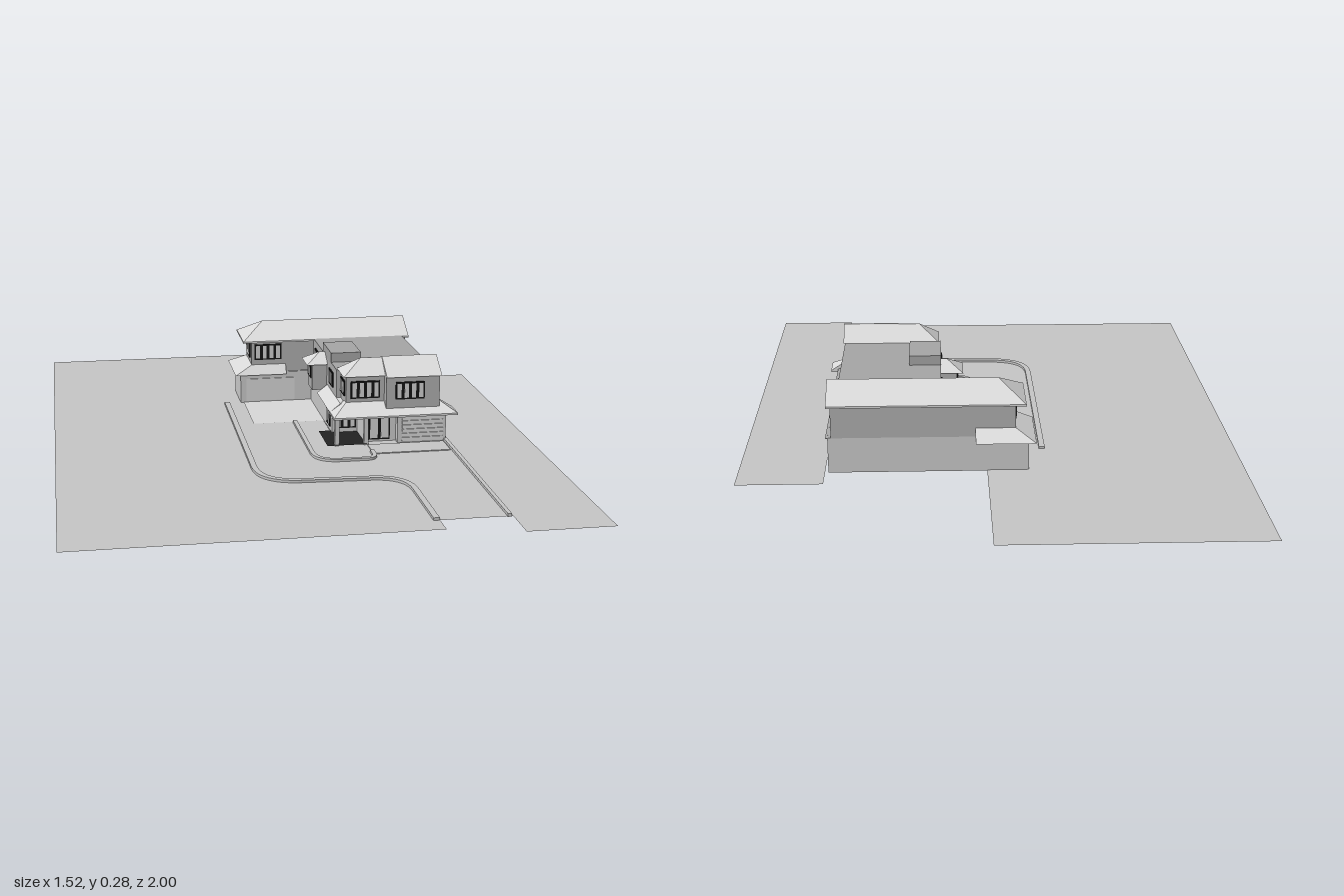
import * as THREE from 'three';

const mat = (name, color) => {
  const m = new THREE.MeshStandardMaterial({ color, side: THREE.DoubleSide });
  m.name = name;
  return m;
};

export function createModel() {
  const root = new THREE.Group();
  root.name = 'houseAndGrounds';
  const M = {
    ground: mat('ground grey', 0xc6c6c6),
    paving: mat('pale paving', 0xd8d8d8),
    wall: mat('lower wall', 0xcccccc),
    upper: mat('upper wall', 0xb0b0b0),
    roof: mat('roof tile', 0xdadada),
    flat: mat('flat roof', 0xa6a6a6),
    frame: mat('black frame', 0x141414),
    glass: mat('pale glass', 0xd2d2d2),
    floor: mat('dark floor', 0x222222),
  };
  const add = (name, geo, material) => {
    const mesh = new THREE.Mesh(geo, material);
    mesh.name = name;
    root.add(mesh);
    return mesh;
  };
  // Box given by its limits; hollow drops top and bottom
  const block = (name, x0, x1, y0, y1, z0, z1, material, hollow = false) => {
    const g = new THREE.BoxGeometry(x1 - x0, y1 - y0, z1 - z0);
    g.translate((x0 + x1) / 2, (y0 + y1) / 2, (z0 + z1) / 2);
    if (hollow) {
      const i = Array.from(g.index.array);
      g.setIndex([...i.slice(0, 12), ...i.slice(24)]);
    }
    return add(name, g, material);
  };
  // Sloping roof between an outer eave rectangle and an inner top rectangle [x0, x1, z0, z1]
  const slope = (name, o, y0, i, y1, material = M.roof) => {
    const ring = (r, y) => [[r[0], y, r[3]], [r[1], y, r[3]], [r[1], y, r[2]], [r[0], y, r[2]]];
    const a = ring(o, y0), b = ring(i, y1), p = [];
    const quad = (q, r, s, t) => p.push(...q, ...r, ...s, ...q, ...s, ...t);
    for (let k = 0; k < 4; k++) {
      const n = (k + 1) % 4;
      quad(a[k], a[n], b[n], b[k]);
    }
    quad(b[0], b[1], b[2], b[3]);
    const g = new THREE.BufferGeometry();
    g.setAttribute('position', new THREE.Float32BufferAttribute(p, 3));
    g.computeVertexNormals();
    return add(name, g, material);
  };
  // Flat sheet from [x, z] corners
  const sheet = (name, pts, y, material) => {
    const g = new THREE.ShapeGeometry(new THREE.Shape(pts.map(([x, z]) => new THREE.Vector2(x, -z))));
    g.rotateX(-Math.PI / 2).translate(0, y, 0);
    return add(name, g, material);
  };
  // Raised strip of constant width along a path
  const kerb = (name, path, width = 0.018) => {
    const pts = path.getPoints(10), left = [], right = [];
    pts.forEach((p, k) => {
      const d = pts[Math.min(k + 1, pts.length - 1)].clone().sub(pts[Math.max(k - 1, 0)]).normalize();
      left.push(new THREE.Vector2(p.x - d.y * width / 2, -(p.y + d.x * width / 2)));
      right.unshift(new THREE.Vector2(p.x + d.y * width / 2, -(p.y - d.x * width / 2)));
    });
    const g = new THREE.ExtrudeGeometry(new THREE.Shape([...left, ...right]), { depth: 0.01, bevelEnabled: false });
    add(name, g.rotateX(-Math.PI / 2), M.ground);
  };
  // Window: black plate with thin panes; faces +z, or -x when side is true
  const win = (name, u0, u1, y0, y1, at, panes, side = false) => {
    const plate = (n, a, b, c, d, off, t, m) => side
      ? block(n, at - off - t, at - off, c, d, a, b, m)
      : block(n, a, b, c, d, at + off, at + off + t, m);
    plate(name + 'Frame', u0, u1, y0, y1, 0, 0.004, M.frame);
    const w = (u1 - u0) / panes, e = 0.005;
    for (let k = 0; k < panes; k++) {
      plate(name + 'Pane', u0 + k * w + e, u0 + (k + 1) * w - e, y0 + e, y1 - e, 0.004, 0.001, M.glass);
    }
  };

  // Grounds
  sheet('lawn', [[-0.76, -1], [0.015, -1], [0.015, -0.34], [0.14, -0.34], [0.14, 0.16], [0.5, 0.16],
    [0.5, 0.88], [0.29, 0.88], [0.29, 0.95], [-0.76, 0.95]], 0.002, M.ground);
  sheet('sideLawn', [[0.5, -0.58], [0.76, -0.58], [0.76, 1], [0.5, 1]], 0.002, M.ground);
  sheet('courtyard', [[-0.1, -0.34], [0.14, -0.34], [0.14, -0.08], [-0.1, -0.08]], 0.004, M.paving);
  sheet('houseFloor', [[0.14, -0.34], [0.49, -0.34], [0.49, 0.16], [0.14, 0.16]], 0.003, M.floor);
  sheet('porchFloor', [[0.1, 0.04], [0.23, 0.04], [0.23, 0.2], [0.1, 0.2]], 0.006, M.floor);
  block('garageApron', 0.23, 0.48, 0, 0.005, 0.2, 0.29, M.ground);

  // Kerbs of the curving drive
  const outer = new THREE.Path().moveTo(-0.16, -0.33);
  outer.lineTo(-0.16, 0.37);
  outer.quadraticCurveTo(-0.16, 0.51, -0.02, 0.51);
  outer.lineTo(0.18, 0.52);
  outer.quadraticCurveTo(0.28, 0.53, 0.28, 0.64);
  outer.lineTo(0.28, 0.88);
  kerb('outerKerb', outer);
  const inner = new THREE.Path().moveTo(0.04, -0.08);
  inner.lineTo(0.04, 0.26);
  inner.quadraticCurveTo(0.04, 0.34, 0.12, 0.34);
  inner.lineTo(0.2, 0.34);
  inner.quadraticCurveTo(0.23, 0.34, 0.23, 0.3);
  inner.lineTo(0.23, 0.27);
  kerb('innerKerb', inner, 0.014);
  const edge = new THREE.Path().moveTo(0.49, 0.88);
  edge.lineTo(0.49, 0.16);
  kerb('sideKerb', edge, 0.012);

  // Rear wing
  block('rearLowerWalls', -0.11, 0.49, 0, 0.11, -0.49, -0.34, M.wall, true);
  block('rearUpperWalls', -0.07, 0.48, 0.11, 0.225, -0.49, -0.345, M.upper, true);
  slope('rearSkirtRoof', [-0.13, 0.05, -0.54, -0.32], 0.105, [-0.07, 0.05, -0.49, -0.345], 0.137);
  slope('rearRoof', [-0.1, 0.49, -0.525, -0.335], 0.222, [-0.02, 0.49, -0.43, -0.43], 0.275);
  block('rearEaves', -0.1, 0.49, 0.217, 0.223, -0.525, -0.335, M.roof);
  win('rearWing', -0.06, 0.035, 0.155, 0.21, -0.345, 4);
  win('rearSide', -0.46, -0.38, 0.155, 0.21, -0.07, 3, true);
  block('rearGarageDoor', -0.09, 0.08, 0.008, 0.088, -0.34, -0.336, M.paving);

  // Main body with a flat roof
  block('mainLowerWalls', 0.14, 0.49, 0.004, 0.11, -0.34, 0.06, M.wall, true);
  block('mainUpperWalls', 0.15, 0.465, 0.11, 0.222, -0.345, 0.08, M.upper, true);
  block('flatRoof', 0.15, 0.465, 0.216, 0.224, -0.345, 0.08, M.flat);
  slope('sideLedge', [0.44, 0.497, -0.49, 0.155], 0.108, [0.44, 0.465, -0.49, 0.155], 0.116, M.flat);
  block('roofPlantBox', 0.15, 0.25, 0.222, 0.255, -0.165, -0.015, M.flat);
  block('entryBay', 0.1, 0.16, 0.11, 0.2, -0.165, -0.09, M.upper);
  slope('entryBayRoof', [0.08, 0.15, -0.18, -0.075], 0.2, [0.13, 0.15, -0.13, -0.125], 0.232);
  win('bay', -0.155, -0.1, 0.15, 0.19, 0.1, 2, true);
  win('mainSide', -0.04, 0.03, 0.15, 0.2, 0.15, 3, true);
  win('courtSide', -0.3, -0.21, 0.15, 0.2, 0.15, 3, true);

  // Front block
  block('frontUpperWalls', 0.165, 0.3, 0.11, 0.224, 0.075, 0.165, M.upper);
  block('frontBayWalls', 0.29, 0.465, 0.11, 0.224, 0.075, 0.195, M.upper);
  slope('frontRoof', [0.155, 0.47, 0.06, 0.178], 0.224, [0.22, 0.47, 0.118, 0.12], 0.272);
  slope('frontBayRoof', [0.29, 0.47, 0.1, 0.203], 0.224, [0.29, 0.47, 0.118, 0.122], 0.274);
  slope('frontSkirtRoof', [0.115, 0.52, 0.14, 0.225], 0.103, [0.165, 0.465, 0.14, 0.165], 0.138);
  slope('leftSkirtRoof', [0.115, 0.17, -0.08, 0.15], 0.103, [0.15, 0.17, -0.08, 0.15], 0.13);
  block('skirtFascia', 0.115, 0.52, 0.098, 0.104, 0.14, 0.225, M.roof);
  win('frontLeft', 0.18, 0.275, 0.15, 0.207, 0.165, 4);
  win('frontRight', 0.32, 0.415, 0.15, 0.207, 0.195, 4);
  win('frontSide', 0.09, 0.15, 0.155, 0.205, 0.165, 2, true);

  // Ground floor frontage: garage, entrance and porch
  block('garageWalls', 0.33, 0.49, 0.003, 0.11, 0.06, 0.19, M.wall, true);
  block('entranceWall', 0.225, 0.33, 0.003, 0.11, 0.06, 0.165, M.wall, true);
  for (let k = 0; k < 6; k++) {
    block('garageDoorPanel', 0.345, 0.48, 0.008 + k * 0.014, 0.02 + k * 0.014, 0.19, 0.194, M.paving);
  }
  win('frontDoor', 0.24, 0.31, 0.01, 0.095, 0.165, 2);
  win('porchWindow', 0.15, 0.22, 0.02, 0.095, 0.06, 3);
  win('hall', -0.02, 0.04, 0.02, 0.09, 0.14, 2, true);
  for (const x of [0.125, 0.22]) block('porchPost', x, x + 0.014, 0, 0.1, 0.18, 0.194, M.wall);
  return root;
}
